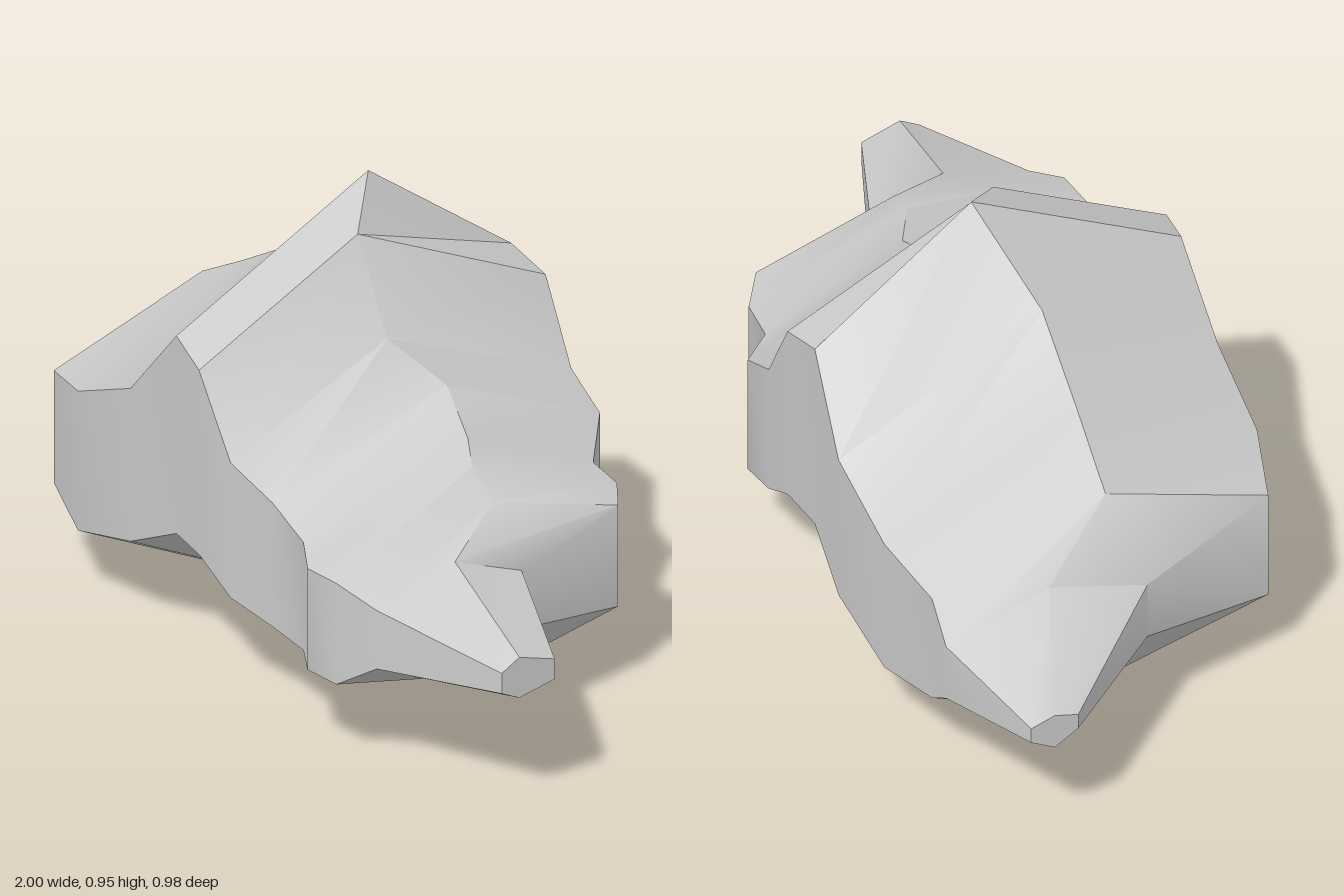
import * as THREE from 'three';
import { toCreasedNormals } from 'three/addons/utils/BufferGeometryUtils.js';

// Stations along x: [x, ridgeY, shoulderY, hipY, keelY, frontZ, middleZ, backZ]
const stations = [
  [-1.00, 0.31, 0.295, 0.26, 0.23, -0.32, -0.375, -0.43],
  [-0.74, 0.43, 0.36, 0.23, 0.13, -0.02, -0.25, -0.49],
  [-0.65, 0.55, 0.42, 0.17, 0.09, 0.31, -0.07, -0.475],
  [-0.47, 0.64, 0.45, 0.14, 0.005, 0.38, -0.04, -0.49],
  [-0.26, 0.75, 0.53, 0.19, 0.005, 0.40, -0.01, -0.485],
  [-0.10, 0.95, 0.70, 0.26, 0.0, 0.40, -0.09, -0.455],
  [0.02, 0.875, 0.67, 0.26, 0.01, 0.43, 0.025, -0.455],
  [0.13, 0.68, 0.50, 0.20, 0.02, 0.43, 0.03, -0.44],
  [0.25, 0.60, 0.445, 0.17, 0.03, 0.41, -0.035, -0.425],
  [0.37, 0.53, 0.40, 0.16, 0.04, 0.42, 0.0, -0.32],
  [0.48, 0.52, 0.395, 0.17, 0.07, 0.49, 0.07, -0.30],
  [0.58, 0.48, 0.395, 0.17, 0.10, 0.49, 0.09, -0.23],
  [0.68, 0.42, 0.36, 0.23, 0.165, 0.46, 0.26, 0.09],
  [1.00, 0.33, 0.305, 0.26, 0.24, 0.375, 0.33, 0.24],
];

// Loft of six-sided cross-sections: ridge, front wall, keel, back wall
function rockGeometry() {
  const positions = [];
  const index = [];
  const sides = 6;
  for (const [x, ridge, shoulder, hip, keel, front, middle, back] of stations) {
    positions.push(
      x, ridge, middle, x, shoulder, front, x, hip, front,
      x, keel, middle, x, hip, back, x, shoulder, back);
  }
  const last = (stations.length - 1) * sides;
  for (let i = 0; i < last; i += sides) {
    for (let j = 0; j < sides; j++) {
      const k = (j + 1) % sides;
      const a = i + j, b = i + sides + j, c = i + sides + k, d = i + k;
      index.push(a, d, c, a, c, b);
    }
  }
  // End caps
  for (let j = 1; j < sides - 1; j++) {
    index.push(0, j + 1, j);
    index.push(last, last + j, last + j + 1);
  }
  const geometry = new THREE.BufferGeometry();
  geometry.setAttribute('position', new THREE.Float32BufferAttribute(positions, 3));
  geometry.setIndex(index);
  return toCreasedNormals(geometry, 0.6);
}

export function createModel() {
  const group = new THREE.Group();
  group.name = 'rockFormation';
  const rock = new THREE.Mesh(rockGeometry(), new THREE.MeshStandardMaterial({ color: 0xcccccc }));
  rock.name = 'rock';
  group.add(rock);
  return group;
}
